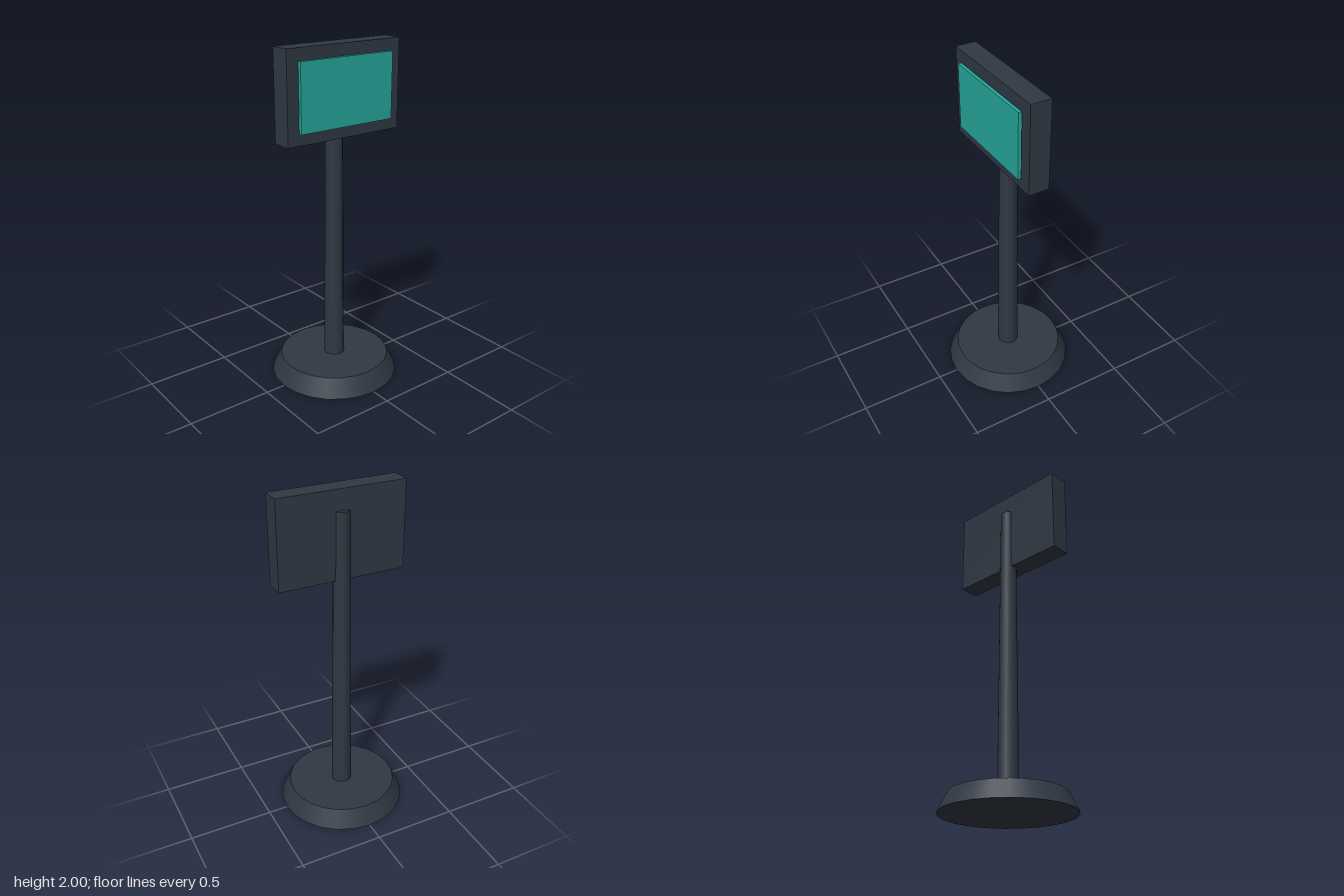
import * as THREE from 'three';

export function createModel() {
  const model = new THREE.Group();
  const slate = new THREE.MeshStandardMaterial({ color: 0x2f3843 });
  slate.name = 'dark slate';
  const teal = new THREE.MeshStandardMaterial({ color: 0x26a69a });
  teal.name = 'teal';

  const add = (name, geometry, material, y, z = 0) => {
    const mesh = new THREE.Mesh(geometry, material);
    mesh.name = name;
    mesh.position.set(0, y, z);
    model.add(mesh);
  };

  // Tapered round foot
  add('base', new THREE.CylinderGeometry(0.327, 0.381, 0.11, 24), slate, 0.055);
  // Slim tapered pole, reaching up behind the panel
  add('pole', new THREE.CylinderGeometry(0.047, 0.061, 1.77, 12), slate, 0.995);
  // Display housing, set slightly forward of the pole
  add('housing', new THREE.BoxGeometry(0.762, 0.514, 0.12), slate, 1.743, 0.04);
  // Screen standing just off the housing's front
  add('screen', new THREE.BoxGeometry(0.624, 0.38, 0.02), teal, 1.743, 0.115);

  return model;
}
